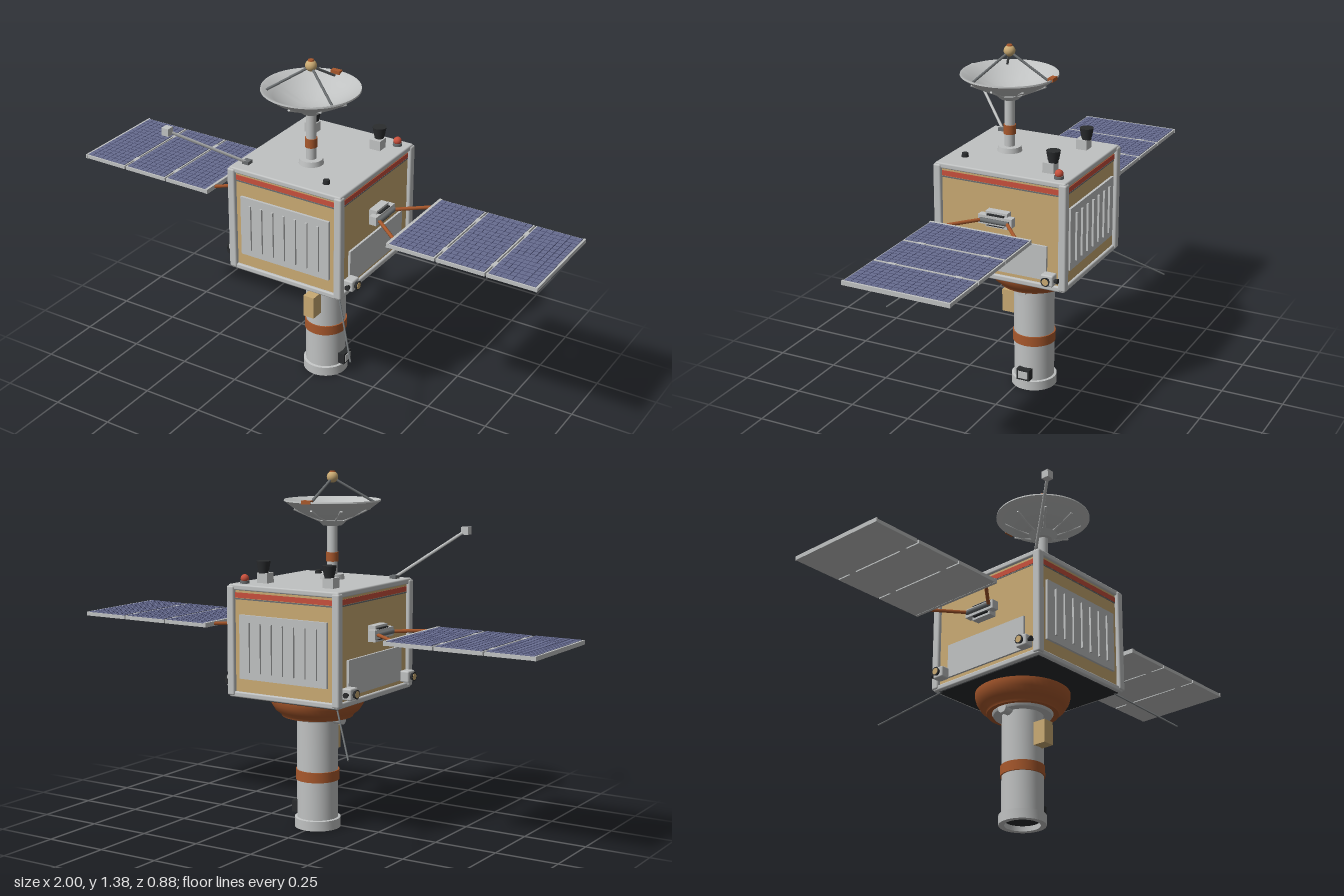
import * as THREE from 'three';
import { RoundedBoxGeometry } from 'three/addons/geometries/RoundedBoxGeometry.js';
import { toCreasedNormals } from 'three/addons/utils/BufferGeometryUtils.js';

const mat = (name, color, side = THREE.FrontSide) => {
  const m = new THREE.MeshStandardMaterial({ color, side });
  m.name = name;
  return m;
};

export function createModel() {
  const root = new THREE.Group();
  root.name = 'spaceTelescope';
  const grey = mat('lightGrey', 0xc0c2c2, THREE.DoubleSide);
  const gold = mat('goldFoil', 0xc9aa73);
  const copper = mat('copper', 0xa8582c, THREE.DoubleSide);
  const dark = mat('black', 0x2a2c2e, THREE.DoubleSide);
  const steel = mat('darkSteel', 0x6a6e70);
  const blue = mat('solarBlue', 0x686d90);
  const navy = mat('cellLine', 0x45496c);
  const red = mat('red', 0xc8503c);
  const V = (x, y, z) => new THREE.Vector3(x, y, z);

  const add = (name, geo, m, x = 0, y = 0, z = 0, parent = root) => {
    const mesh = new THREE.Mesh(geo, m);
    mesh.name = name;
    mesh.position.set(x, y, z);
    parent.add(mesh);
    return mesh;
  };
  const box = (name, m, w, h, d, x, y, z, parent) =>
    add(name, new THREE.BoxGeometry(w, h, d), m, x, y, z, parent);
  const cyl = (name, m, rTop, rBot, h, x, y, z, seg = 24, parent) =>
    add(name, new THREE.CylinderGeometry(rTop, rBot, h, seg), m, x, y, z, parent);
  const rod = (name, m, a, b, r, parent) => {
    const d = b.clone().sub(a), mid = a.clone().add(b).multiplyScalar(0.5);
    const mesh = cyl(name, m, r, r, d.length(), mid.x, mid.y, mid.z, 8, parent);
    mesh.quaternion.setFromUnitVectors(V(0, 1, 0), d.normalize());
    return mesh;
  };
  const lathe = (name, m, pts, z, seg = 48) => add(name, toCreasedNormals(
    new THREE.LatheGeometry(pts.map(p => new THREE.Vector2(...p)), seg), 0.6), m, 0, 0, z);

  // Main body: foil box in a grey frame
  const cz = -0.0165;
  box('foilBody', gold, 0.47, 0.41, 0.52, 0, 0.745, cz);
  add('topPlate', new RoundedBoxGeometry(0.49, 0.022, 0.54, 2, 0.006), grey, 0, 0.95, cz);
  add('bottomPlate', new RoundedBoxGeometry(0.49, 0.022, 0.54, 2, 0.006), grey, 0, 0.54, cz);
  box('underside', dark, 0.46, 0.006, 0.51, 0, 0.528, cz);
  for (const sx of [-1, 1]) for (const sz of [-1, 1])
    add('cornerPost', new RoundedBoxGeometry(0.032, 0.42, 0.032, 2, 0.007), grey,
      sx * 0.234, 0.745, cz + sz * 0.2595);
  box('redStripe', red, 0.474, 0.02, 0.524, 0, 0.92, cz);
  box('stripeTrim', steel, 0.473, 0.005, 0.523, 0, 0.906, cz);

  // Ribbed radiators on front and back
  for (const s of [-1, 1]) {
    const g = new THREE.Group();
    g.name = 'radiator';
    g.position.set(0, 0.725, cz + s * 0.264);
    root.add(g);
    box('radiatorPlate', grey, 0.39, 0.245, 0.012, 0, 0, 0, g);
    for (let i = 0; i < 7; i++)
      box('radiatorRib', grey, 0.008, 0.19, 0.01, -0.15 + i * 0.05, 0, s * 0.009, g);
  }

  // Sides: plate, hinge, struts, solar wing and thrusters
  for (const s of [-1, 1]) {
    box('sidePlate', grey, 0.012, 0.135, 0.39, s * 0.238, 0.635, cz);
    box('hingeBlock', grey, 0.035, 0.062, 0.09, s * 0.25, 0.782, cz);
    box('hingeWing', grey, 0.03, 0.035, 0.14, s * 0.265, 0.782, cz);
    box('hingeSlot', dark, 0.02, 0.045, 0.07, s * 0.268, 0.782, cz);
    const pin = cyl('hingePin', steel, 0.009, 0.009, 0.12, s * 0.285, 0.782, cz, 12);
    pin.rotation.x = Math.PI / 2;
    for (const e of [-1, 1])
      rod('wingStrut', copper, V(s * 0.28, 0.782, cz + e * 0.05), V(s * 0.405, 0.782, cz + e * 0.153), 0.007);

    const wing = new THREE.Group();
    wing.name = 'solarWing';
    wing.position.set(0, 0, -0.02);
    root.add(wing);
    for (let i = 0; i < 3; i++) {
      const x = s * (0.5 + i * 0.2);
      box('panelFrame', grey, 0.194, 0.014, 0.414, x, 0.781, 0, wing);
      box('solarCells', blue, 0.182, 0.004, 0.402, x, 0.789, 0, wing);
      for (let k = -3; k <= 3; k++)
        box('cellLine', navy, 0.002, 0.001, 0.4, x + k * 0.0228, 0.7912, 0, wing);
      for (let k = -7; k <= 7; k++)
        box('cellLine', navy, 0.18, 0.001, 0.002, x, 0.7912, k * 0.025, wing);
      if (i < 2) for (const e of [-1, 1])
        box('panelHinge', grey, 0.02, 0.016, 0.03, x + s * 0.1, 0.782, e * 0.13, wing);
    }
    box('wingRootBar', grey, 0.012, 0.018, 0.414, s * 0.404, 0.782, 0, wing);
    box('wingTipBar', grey, 0.008, 0.016, 0.418, s * 0.996, 0.782, 0, wing);

    for (const e of [-1, 1]) {
      const z = cz + e * 0.213;
      add('thrusterBlock', new RoundedBoxGeometry(0.04, 0.045, 0.05, 2, 0.006), grey, s * 0.26, 0.583, z);
      const ring = cyl('thrusterRing', dark, 0.018, 0.012, 0.014, s * 0.285, 0.583, z);
      ring.rotation.z = -s * Math.PI / 2;
      const tip = cyl('thrusterNozzle', gold, 0.013, 0.013, 0.003, s * 0.292, 0.583, z);
      tip.rotation.z = -s * Math.PI / 2;
      const side = cyl('sideNozzle', dark, 0.011, 0.006, 0.016, s * 0.265, 0.583, z + e * 0.032, 16);
      side.rotation.x = e * Math.PI / 2;
    }
  }

  // Telescope barrel under the body
  const tz = -0.044;
  lathe('copperCollar', copper, [[0.115, 0.445], [0.138, 0.443], [0.142, 0.452], [0.163, 0.468],
    [0.178, 0.492], [0.184, 0.515], [0.184, 0.53]], tz);
  lathe('collarRing', grey, [[0.08, 0.435], [0.112, 0.435], [0.118, 0.445], [0.118, 0.46]], tz);
  lathe('barrel', grey, [[0.068, 0.05], [0.068, 0], [0.09, 0], [0.09, 0.038], [0.08, 0.04], [0.08, 0.45]], tz);
  cyl('barrelBand', copper, 0.085, 0.085, 0.04, 0, 0.21, tz, 48);
  cyl('aperture', dark, 0.069, 0.069, 0.01, 0, 0.025, tz, 32);
  for (const s of [-1, 1]) {
    const lug = cyl('collarLug', grey, 0.02, 0.02, 0.045, s * 0.095, 0.437, tz, 20);
    lug.rotation.z = Math.PI / 2;
  }
  box('goldSensor', gold, 0.048, 0.092, 0.056, 0, 0.338, 0.058);
  box('sidePort', dark, 0.03, 0.046, 0.056, 0.088, 0.07, tz);
  box('sidePortCover', grey, 0.006, 0.03, 0.04, 0.103, 0.07, tz);

  // Dish antenna on its mast
  const dz = 0.062;
  cyl('mastBase', grey, 0.044, 0.048, 0.022, 0, 0.97, dz, 32);
  cyl('mast', grey, 0.02, 0.02, 0.21, 0, 1.075, dz);
  cyl('mastBand', copper, 0.024, 0.024, 0.036, 0, 1.047, dz);
  cyl('dishHub', grey, 0.058, 0.036, 0.02, 0, 1.178, dz, 32);
  lathe('dish', grey, [[0, 1.187], [0.05, 1.189], [0.1, 1.207], [0.145, 1.231], [0.182, 1.259],
    [0.187, 1.262], [0.186, 1.268], [0.178, 1.266], [0.142, 1.24], [0.1, 1.216], [0.05, 1.198], [0, 1.195]], dz, 64);
  for (let i = 0; i < 8; i++) {
    const a = i * Math.PI / 4, c = Math.cos(a), n = Math.sin(a);
    rod('dishRib', grey, V(c * 0.05, 1.187, dz + n * 0.05), V(c * 0.15, 1.232, dz + n * 0.15), 0.005);
  }
  for (let i = 0; i < 3; i++) {
    const a = -Math.PI / 2 + i * Math.PI * 2 / 3;
    rod('feedStrut', steel, V(Math.cos(a) * 0.165, 1.255, dz + Math.sin(a) * 0.165), V(0, 1.35, dz), 0.005);
  }
  add('feedBall', new THREE.SphereGeometry(0.022, 24, 16), gold, 0, 1.353, dz);
  cyl('feedCap', copper, 0.01, 0.012, 0.006, 0, 1.374, dz, 16);
  box('rimSensor', copper, 0.04, 0.014, 0.022, 0, 1.266, dz - 0.178);

  // Roof equipment
  for (const s of [-1, 1]) {
    box('trackerBase', grey, 0.045, 0.04, 0.045, s * 0.147, 0.98, -0.18);
    cyl('trackerNeck', dark, 0.02, 0.018, 0.015, s * 0.147, 1.006, -0.192);
    cyl('trackerHood', dark, 0.027, 0.021, 0.034, s * 0.147, 1.028, -0.192);
  }
  cyl('beaconBase', steel, 0.018, 0.018, 0.012, 0.2, 0.966, -0.24);
  add('beacon', new THREE.SphereGeometry(0.016, 20, 14), red, 0.2, 0.98, -0.24);
  cyl('roofSensor', dark, 0.012, 0.014, 0.016, 0.14, 0.968, 0.18, 20);

  // Boom and whip antennas
  box('boomFoot', steel, 0.028, 0.016, 0.028, -0.2, 0.966, 0.195);
  rod('boom', grey, V(-0.2, 0.965, 0.195), V(-0.388, 1.138, 0.425), 0.006);
  box('boomHead', grey, 0.03, 0.03, 0.03, -0.39, 1.138, 0.425);
  rod('whipAntenna', steel, V(0.215, 0.535, 0.215), V(0.382, 0.39, 0.402), 0.0035);
  rod('whipAntenna', steel, V(-0.215, 0.535, -0.25), V(-0.382, 0.39, -0.438), 0.0035);

  return root;
}
